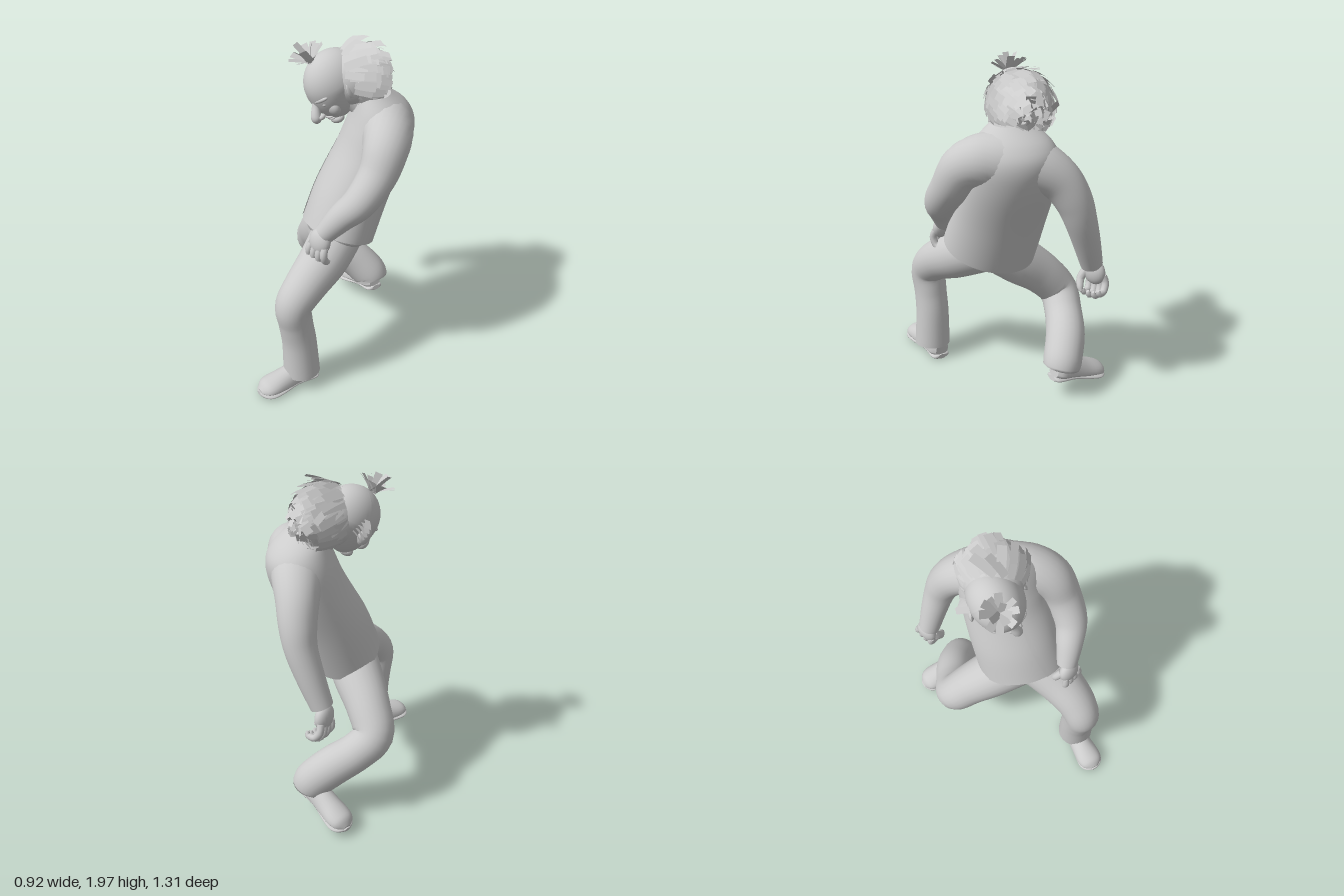
import * as THREE from 'three';
import { mergeGeometries } from 'three/addons/utils/BufferGeometryUtils.js';

const grey = new THREE.MeshStandardMaterial({ color: 0xcccccc });
const thin = new THREE.MeshStandardMaterial({ color: 0xcccccc, side: THREE.DoubleSide });
const V = (x, y, z) => new THREE.Vector3(x, y, z);

function add(parent, name, geo, mat = grey) {
  const m = new THREE.Mesh(geo, mat);
  m.name = name;
  parent.add(m);
  return m;
}

function seeded(seed) {
  return () => {
    seed = (seed * 16807) % 2147483647;
    return seed / 2147483647;
  };
}

// column-wise smooth interpolation of a short table
function spline(rows, t) {
  const n = rows.length, f = t * (n - 1), i = Math.min(Math.floor(f), n - 2), u = f - i;
  const at = k => rows[Math.max(0, Math.min(n - 1, k))];
  const [a, b, c, d] = [at(i - 1), at(i), at(i + 1), at(i + 2)];
  return b.map((_, k) => b[k] + 0.5 * u * (c[k] - a[k] + u * (2 * a[k] - 5 * b[k] + 4 * c[k] - d[k]
    + u * (3 * (b[k] - c[k]) + d[k] - a[k]))));
}

// skin over rings of points
function loft(rings, closed = true, caps = true) {
  const pos = [], idx = [], n = rings[0].length, span = closed ? n : n - 1;
  rings.forEach(r => r.forEach(p => pos.push(p.x, p.y, p.z)));
  for (let j = 0; j < rings.length - 1; j++) for (let i = 0; i < span; i++) {
    const a = j * n + i, b = j * n + (i + 1) % n;
    idx.push(a, b, b + n, a, b + n, a + n);
  }
  if (caps) [rings[0], rings[rings.length - 1]].forEach((r, end) => {
    const base = pos.length / 3, c = V(0, 0, 0);
    r.forEach(p => { pos.push(p.x, p.y, p.z); c.addScaledVector(p, 1 / n); });
    pos.push(c.x, c.y, c.z);
    for (let i = 0; i < n; i++) {
      const k = base + i, l = base + (i + 1) % n;
      idx.push(base + n, end ? k : l, end ? l : k);
    }
  });
  const g = new THREE.BufferGeometry();
  g.setAttribute('position', new THREE.Float32BufferAttribute(pos, 3));
  g.setIndex(idx);
  g.computeVertexNormals();
  return g;
}

// tapering tube through rows of [x, y, z, radius]
function limb(rows, ref = V(1, 0, 0), steps = 32, sides = 24) {
  const rings = [];
  for (let j = 0; j <= steps; j++) {
    const t = j / steps, [x, y, z, r] = spline(rows, t);
    const p = V(...spline(rows, Math.max(0, t - 0.01))), q = V(...spline(rows, Math.min(1, t + 0.01)));
    const T = q.sub(p).normalize();
    const A = ref.clone().addScaledVector(T, -ref.dot(T)).normalize(), B = T.clone().cross(A);
    rings.push(Array.from({ length: sides }, (_, i) => {
      const a = i / sides * Math.PI * 2;
      return V(x, y, z).addScaledVector(A, r * Math.cos(a)).addScaledVector(B, r * Math.sin(a));
    }));
  }
  return loft(rings);
}

// twisted, leaning body rings: [x, y, z, halfWidth, halfDepth, yaw, hemTilt]
function body(rows, scale, gap) {
  const rings = [], n = 48;
  for (let j = 0; j <= 30; j++) {
    const [x, y, z, w, d, yaw, tilt] = spline(rows, j / 30);
    rings.push(Array.from({ length: gap ? n + 1 : n }, (_, i) => {
      const a = gap + i / n * (Math.PI * 2 - 2 * gap);
      const u = w * scale * Math.sin(a), f = d * scale * Math.cos(a);
      const dz = -u * Math.sin(yaw) + f * Math.cos(yaw);
      return V(x + u * Math.cos(yaw) + f * Math.sin(yaw), y + tilt * dz, z + dz);
    }));
  }
  return loft(rings, !gap, !gap);
}

function ball(parent, name, p, s, rot = [0, 0, 0]) {
  const m = add(parent, name, new THREE.SphereGeometry(1, 24, 16));
  m.position.set(...p);
  m.scale.set(...s);
  m.rotation.set(...rot);
  return m;
}

function shoe(name) {
  const g = new THREE.Group();
  g.name = name;
  const slice = (rows, low, steps = 20) => loft(Array.from({ length: steps + 1 }, (_, j) => {
    const [y, z, w, h] = spline(rows, j / steps);
    return Array.from({ length: 24 }, (_, i) => {
      const a = i / 24 * Math.PI * 2, s = Math.sin(a);
      return V(w * Math.cos(a), y + h * (s < 0 ? s * low : s), z);
    });
  }));
  add(g, 'shoeUpper', slice([[.05, 0, .04, .06], [.05, .04, .066, .1], [.05, .13, .066, .1],
    [.045, .22, .074, .08], [.045, .3, .08, .06], [.042, .35, .066, .045], [.035, .38, .025, .015]], .35));
  add(g, 'shoeSole', slice([[.017, -.006, .03, .015], [.017, .02, .06, .017], [.02, .14, .054, .017],
    [.017, .24, .072, .017], [.017, .32, .08, .017], [.02, .365, .06, .016], [.026, .388, .02, .012]], 1));
  return g;
}

// half-closed hand: fingers hang down and curl towards -z
function hand(name, thumbSide) {
  const g = new THREE.Group();
  g.name = name;
  ball(g, 'palm', [0, -.03, 0], [.058, .065, .036]);
  for (let i = 0; i < 4; i++) {
    const x = (i - 1.5) * .03, l = 1 - Math.abs(i - 1.4) * .08;
    add(g, 'finger', limb([[x * .9, -.05, .01, .017], [x, -.1 * l, .014, .018], [x, -.14 * l, -.01, .017],
      [x, -.14 * l, -.045, .015], [x, -.118 * l, -.052, .008]], V(1, 0, 0), 12, 10));
  }
  const s = thumbSide;
  add(g, 'thumb', limb([[s * .035, -.015, -.01, .02], [s * .058, -.055, -.035, .02],
    [s * .05, -.09, -.06, .016], [s * .04, -.11, -.07, .007]], V(0, 0, 1), 12, 10));
  g.scale.setScalar(1.2);
  return g;
}

// flat curved lock of hair, growing along +z with its face along +y
function lock(width, length, curl) {
  const g = new THREE.PlaneGeometry(width, length, 1, 4).rotateX(-Math.PI / 2).translate(0, 0, length / 2);
  const p = g.attributes.position;
  for (let i = 0; i < p.count; i++) p.setY(i, curl * (p.getZ(i) / length) ** 2);
  return g.toNonIndexed();
}

function makeHead() {
  const head = new THREE.Group(), rnd = seeded(71);
  head.name = 'head';
  // skull narrowing to the jaw
  const geo = new THREE.SphereGeometry(1, 48, 36), p = geo.attributes.position;
  for (let i = 0; i < p.count; i++) {
    const x = p.getX(i), y = p.getY(i), z = p.getZ(i), k = Math.max(0, -y);
    p.setXYZ(i, x * .147 * (1 - .25 * k), y * (y < 0 ? .205 : .175), z * .18 * (1 - .2 * k) + k * .05);
  }
  geo.computeVertexNormals();
  add(head, 'skull', geo);
  // face
  add(head, 'nose', limb([[0, -.015, .158, .014], [.003, -.05, .175, .021], [.01, -.09, .202, .029],
    [.014, -.112, .21, .027], [.014, -.132, .198, .008]], V(1, 0, 0), 16, 16));
  ball(head, 'upperLip', [0, -.145, .135], [.045, .012, .02]);
  ball(head, 'lowerLip', [0, -.163, .126], [.038, .012, .02]);
  ball(head, 'chin', [0, -.19, .095], [.05, .03, .04]);
  for (const s of [-1, 1]) {
    ball(head, 'brow', [s * .055, -.012, .15], [.055, .015, .02], [0, s * .4, s * .18]);
    ball(head, 'eye', [s * .058, -.043, .148], [.022, .013, .013]);
    ball(head, 'cheek', [s * .06, -.095, .11], [.048, .05, .034]);
    ball(head, 'nostril', [s * .026 + .01, -.108, .185], [.016, .015, .022]);
    const ear = ball(head, 'ear', [s * .15, -.035, .01], [.016, .05, .034], [0, s * .4, 0]);
    const rim = add(ear, 'earRim', new THREE.TorusGeometry(.9, .2, 8, 24));
    rim.rotation.y = Math.PI / 2;
  }
  // shaggy hair round the back and sides
  const c = V(.045, -.035, -.095), o = new THREE.Object3D(), locks = [];
  ball(head, 'hairBase', c.toArray(), [.168, .165, .165]);
  for (let i = 0; i < 420; i++) {
    const y = 1 - 2 * (i + .5) / 420, r = Math.sqrt(1 - y * y), a = i * 2.39996;
    const n = V(r * Math.sin(a), y, r * Math.cos(a));
    const at = n.clone().multiplyScalar(.17).add(c);
    if (at.z > 0 || (at.x / .15) ** 2 + (at.y / .178) ** 2 + (at.z / .185) ** 2 < 1 || n.y < -.85) continue;
    const flow = V((rnd() - .5) * .9, -.7, -.8 + (rnd() - .5) * .6);
    flow.addScaledVector(n, -flow.dot(n)).normalize().addScaledVector(n, .12 + rnd() * .25);
    o.position.copy(at);
    o.up.copy(n);
    o.lookAt(at.clone().add(flow));
    o.updateMatrix();
    locks.push(lock(.035 + rnd() * .025, .09 + rnd() * .06, -.03 - rnd() * .03).applyMatrix4(o.matrix));
  }
  // loose side locks
  for (const s of [-1, 1]) for (let i = 0; i < 5; i++) {
    o.position.set(s * .14, .05 - i * .018, -.02 - i * .015);
    o.up.set(0, 1, 0);
    o.lookAt(s * .3, .04 - i * .03, -.1 + i * .04);
    o.updateMatrix();
    locks.push(lock(.035, .07, -.02).applyMatrix4(o.matrix));
  }
  add(head, 'hairLocks', mergeGeometries(locks), thin);
  // tuft above the forehead
  const tuft = [];
  for (let i = 0; i < 13; i++) {
    const a = i * 2.39996, s = i < 4 ? .3 : .95;
    o.position.set(-.015, .16, .06);
    o.up.set(-Math.sin(a), .5, -Math.cos(a));
    o.lookAt(s * Math.sin(a), 1.0, .06 + s * Math.cos(a));
    o.updateMatrix();
    tuft.push(lock(.03 + rnd() * .015, .1 + rnd() * .035, -.015).applyMatrix4(o.matrix));
  }
  add(head, 'foreheadTuft', mergeGeometries(tuft), thin);
  // bowed and tilted pose
  const fwd = V(-.07, -.42, .9).normalize(), left = V(.92, .15, .22);
  left.addScaledVector(fwd, -left.dot(fwd)).normalize();
  head.quaternion.setFromRotationMatrix(new THREE.Matrix4().makeBasis(left, fwd.clone().cross(left), fwd));
  head.position.set(-.06, 1.74, -.105);
  return head;
}

export function createModel() {
  const g = new THREE.Group();
  // open jacket over a shirt
  const torso = [[.06, .865, -.03, .265, .205, -.48, .42], [.07, 1.1, -.13, .26, .215, -.62, .2],
    [.1, 1.35, -.25, .255, .21, -.75, .05], [.115, 1.5, -.295, .245, .195, -.78, 0],
    [.115, 1.6, -.29, .2, .155, -.78, 0], [.1, 1.68, -.25, .11, .1, -.75, 0]];
  add(g, 'jacket', body(torso, 1, .42), thin);
  add(g, 'shirt', body(torso, .98, 0));
  add(g, 'neck', limb([[.11, 1.55, -.27, .12], [.05, 1.63, -.22, .1], [-.02, 1.7, -.15, .09]]));
  g.add(makeHead());

  // sleeves, growing out of the shoulders
  add(g, 'leftSleeve', limb([[.13, 1.5, -.31, .16], [.25, 1.5, -.22, .145], [.325, 1.45, -.135, .128],
    [.35, 1.33, -.055, .11], [.335, 1.2, .055, .096], [.27, 1.1, .135, .08], [.205, .99, .2, .06]]));
  add(g, 'rightSleeve', limb([[.11, 1.5, -.32, .16], [.02, 1.45, -.42, .137], [-.05, 1.38, -.49, .117],
    [-.1, 1.27, -.54, .103], [-.14, 1.15, -.56, .09], [-.2, 1.0, -.555, .078], [-.265, .84, -.54, .064]],
  V(-.6, 0, .8)));
  const lh = hand('leftHand', -1), rh = hand('rightHand', 1);
  lh.position.set(.2, .985, .222);
  lh.rotation.set(-.2, .15, 0);
  rh.position.set(-.285, .82, -.538);
  rh.rotation.set(0, -1.4, -.2);
  g.add(lh, rh);

  // trousers
  ball(g, 'trouserSeat', [.06, .885, -.03], [.245, .11, .195], [-.4, -.48, 0]);
  add(g, 'leftTrouserLeg', limb([[.09, .87, -.02, .15], [.15, .775, .15, .142], [.18, .68, .32, .122],
    [.18, .58, .41, .108], [.18, .45, .4, .1], [.185, .3, .38, .102], [.195, .085, .375, .11]]));
  add(g, 'rightTrouserLeg', limb([[.01, .85, -.03, .15], [-.12, .74, -.09, .145], [-.25, .63, -.15, .128],
    [-.34, .51, -.205, .118], [-.3, .42, -.295, .112], [-.215, .335, -.405, .116], [-.13, .235, -.475, .115],
    [-.11, .19, -.485, .11]], V(.1, -.6, .8)));

  // shoes
  const ls = shoe('leftShoe'), rs = shoe('rightShoe');
  ls.position.set(.2, 0, .275);
  ls.rotation.y = -.15;
  rs.position.set(-.045, .115, -.475);
  rs.rotation.set(.24, -1.68, 0, 'YXZ');
  g.add(ls, rs);
  return g;
}
